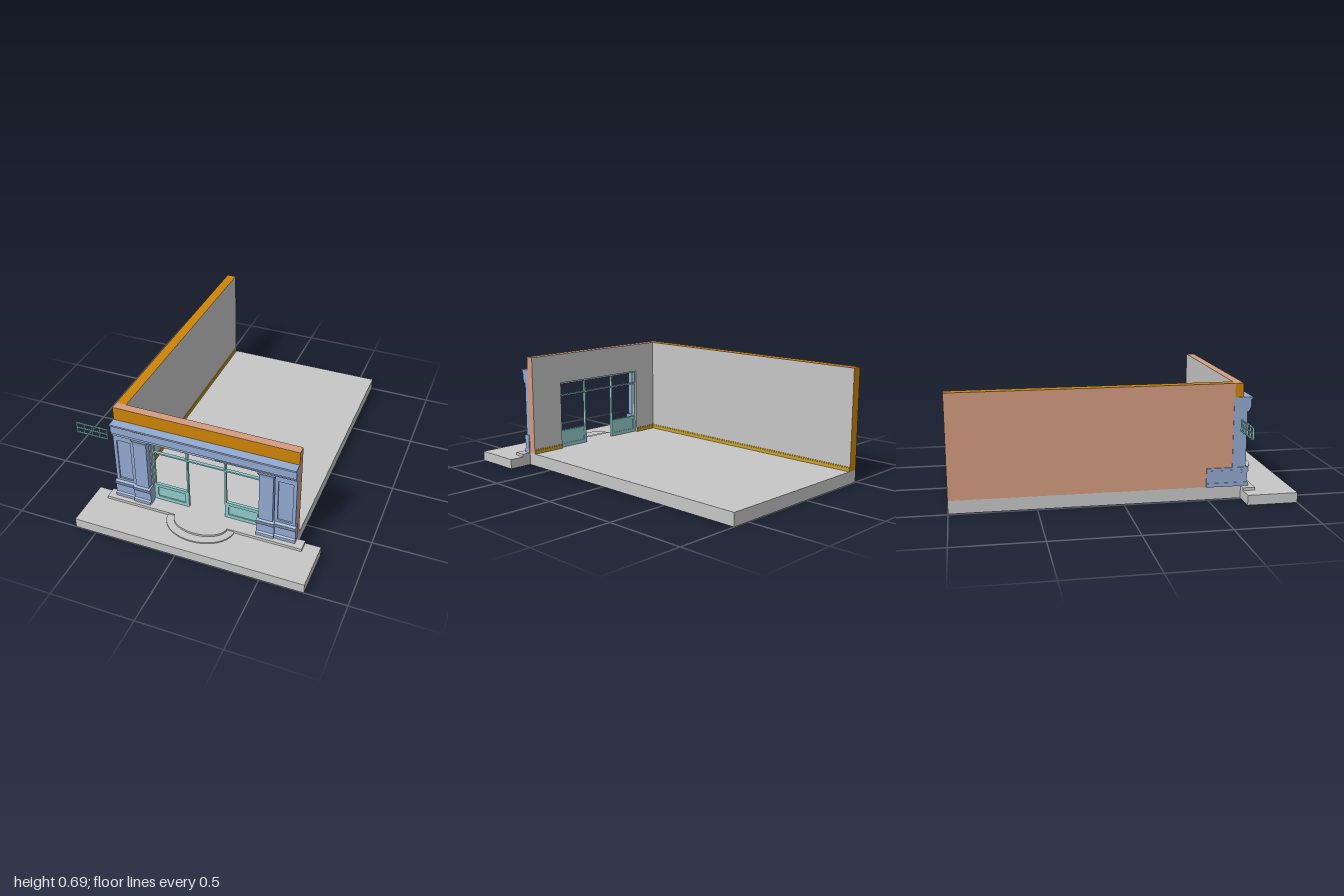
import * as THREE from 'three';

const mat = (name, color) => {
  const m = new THREE.MeshStandardMaterial({ color });
  m.name = name;
  return m;
};

export function createModel() {
  const stone = mat('stoneGrey', 0xc6c6c6);
  const orange = mat('orangeBrick', 0xcc8408);
  const salmon = mat('salmonWall', 0xd39c80);
  const blue = mat('bluePaint', 0x92a9d0);
  const teal = mat('tealFrame', 0x8fcaca);
  const gold = mat('goldSkirting', 0xc8a02a);

  const root = new THREE.Group();
  const CX = 0.06;    // centre line of the building
  const FLOOR = 0.077;

  const add = (name, geo, material, parent = root) => {
    const m = new THREE.Mesh(geo, material);
    m.name = name;
    parent.add(m);
    return m;
  };
  // Box given by its limits on each axis
  const box = (name, x0, x1, y0, y1, z0, z1, material, parent = root) => {
    const g = new THREE.BoxGeometry(x1 - x0, y1 - y0, z1 - z0);
    g.translate((x0 + x1) / 2, (y0 + y1) / 2, (z0 + z1) / 2);
    return add(name, g, material, parent);
  };
  // Moulding: a [z, y] profile drawn out along x
  const moulding = (name, profile, x0, x1, material, parent = root) => {
    const shape = new THREE.Shape(profile.map(([z, y]) => new THREE.Vector2(z, y)));
    const g = new THREE.ExtrudeGeometry(shape, { depth: x1 - x0, bevelEnabled: false });
    g.rotateY(-Math.PI / 2);
    g.translate(x1, 0, 0);
    return add(name, g, material, parent);
  };
  // Rectangular frame with an opening, extruded in z
  const frame = (name, x0, x1, y0, y1, [hx0, hx1, hy0, hy1], z0, z1, material, parent = root) => {
    const pts = (a, b, c, d) => [[a, c], [b, c], [b, d], [a, d]].map(p => new THREE.Vector2(...p));
    const shape = new THREE.Shape(pts(x0, x1, y0, y1));
    shape.holes.push(new THREE.Path(pts(hx0, hx1, hy0, hy1).reverse()));
    const g = new THREE.ExtrudeGeometry(shape, { depth: z1 - z0, bevelEnabled: false });
    g.translate(0, 0, z0);
    return add(name, g, material, parent);
  };

  // Floor, pavement and steps
  box('floorSlab', -0.49, 0.61, 0, FLOOR, -1, 0.7, stone);
  box('pavement', -0.63, 0.757, 0, 0.06, 0.7, 1, stone);
  box('longStep', -0.54, 0.665, 0.06, FLOOR, 0.7, 0.772, stone);
  [['lowerRoundStep', 0.205, 0.152, 0.068], ['upperRoundStep', 0.163, 0.103, 0.08]].forEach(([name, rx, rz, top]) => {
    const g = new THREE.CylinderGeometry(1, 1, top - 0.06, 48, 1, false, -Math.PI / 2, Math.PI);
    g.scale(rx, 1, rz);
    g.translate(CX, (top + 0.06) / 2, 0.772);
    add(name, g, stone);
  });

  // Walls; face order is +x, -x, +y, -y, +z, -z
  box('sideWall', -0.49, -0.43, FLOOR, 0.69, -1, 0.65, [stone, salmon, orange, orange, orange, orange]);
  box('frontWallLeftPier', -0.49, -0.27, FLOOR, 0.505, 0.65, 0.7, [stone, blue, stone, stone, blue, stone]);
  box('frontWallRightPier', 0.39, 0.61, FLOOR, 0.505, 0.65, 0.7, [salmon, stone, stone, stone, blue, stone]);
  box('frontWallLintel', -0.49, 0.61, 0.505, 0.69, 0.65, 0.7, [salmon, orange, salmon, stone, orange, stone]);

  // Skirting boards
  box('sideSkirting', -0.43, -0.424, FLOOR, 0.098, -1, 0.65, gold);
  box('sideSkirtingCap', -0.43, -0.427, 0.098, 0.104, -1, 0.65, gold);
  [[-0.424, -0.27], [0.39, 0.61]].forEach(([a, b]) => {
    box('frontSkirting', a, b, FLOOR, 0.098, 0.644, 0.65, gold);
    box('frontSkirtingCap', a, b, 0.098, 0.104, 0.647, 0.65, gold);
  });

  // Entablature over the shopfront
  moulding('entablature', [
    [0.7, 0.523], [0.737, 0.523], [0.737, 0.53], [0.742, 0.533], [0.742, 0.54], [0.748, 0.545],
    [0.748, 0.59], [0.757, 0.598], [0.757, 0.608], [0.7, 0.608],
  ], -0.49, 0.61, blue);
  box('headBeam', -0.27, 0.39, 0.503, 0.523, 0.7, 0.715, blue);

  // Pilasters with panel, shaft, flared capital and moulded base, mirrored about the centre line
  const baseProfile = z => [
    [0.7, FLOOR], [z, FLOOR], [z, 0.097], [z - 0.008, 0.105], [z - 0.008, 0.158], [z, 0.164],
    [z, 0.172], [z - 0.004, 0.176], [z, 0.18], [z, 0.186], [z - 0.012, 0.192], [0.7, 0.192],
  ];
  [1, -1].forEach(side => {
    const group = new THREE.Group();
    group.name = side > 0 ? 'rightHandPilasters' : 'leftHandPilasters';
    root.add(group);
    const X = (a, b) => side > 0 ? [CX + a, CX + b] : [CX - b, CX - a]; // offsets from centre
    const [p0, p1] = X(0.425, 0.55);
    const [h0, h1] = X(0.444, 0.53);
    frame('panelFrame', p0, p1, 0.19, 0.523, [h0, h1, 0.207, 0.483], 0.7, 0.727, blue, group);
    box('panelBack', h0, h1, 0.207, 0.483, 0.7, 0.718, blue, group);
    moulding('outerBase', baseProfile(0.743), ...X(0.425, 0.556), blue, group);

    const [s0, s1] = X(0.338, 0.42);
    box('pilasterShaft', s0, s1, 0.19, 0.5, 0.7, 0.739, blue, group);
    moulding('innerBase', baseProfile(0.753), ...X(0.327, 0.432), blue, group);
    // Capital widens towards its top
    const cap = new THREE.BoxGeometry(s1 - s0, 0.03, 0.039, 1, 4, 1);
    const pos = cap.attributes.position;
    for (let i = 0; i < pos.count; i++) {
      const t = ((pos.getY(i) + 0.015) / 0.03) ** 2;
      pos.setX(i, pos.getX(i) * (1 + 0.24 * t));
      if (pos.getZ(i) > 0) pos.setZ(i, pos.getZ(i) + 0.009 * t);
    }
    cap.computeVertexNormals();
    cap.translate((s0 + s1) / 2, 0.508, 0.7195);
    add('capital', cap, blue, group);

    // Shop window beside the doorway
    const [w0, w1] = X(0.112, 0.33);
    box('stallPanel', w0, w1, FLOOR, 0.188, 0.668, 0.676, teal, group);
    frame('stallFrame', w0, w1, FLOOR, 0.188, [w0 + 0.022, w1 - 0.022, 0.1, 0.168], 0.664, 0.682, teal, group);
    box('jamb', ...X(0.322, 0.33), 0.188, 0.505, 0.664, 0.682, teal, group);
    box('mullion', ...X(0.112, 0.121), 0.188, 0.505, 0.664, 0.682, teal, group);
  });
  box('windowHead', -0.27, 0.39, 0.494, 0.505, 0.664, 0.682, teal);
  box('transom', -0.27, 0.39, 0.415, 0.424, 0.664, 0.682, teal);

  // Plinth returning along the side wall
  [[FLOOR, 0.1, 0.009], [0.1, 0.16, 0.005], [0.16, 0.175, 0.009], [0.175, 0.19, 0.007]].forEach(([a, b, d]) =>
    box('sidePlinth', -0.49 - d, -0.49, a, b, 0.49, 0.73, blue));
  box('sidePilaster', -0.493, -0.49, 0.19, 0.608, 0.645, 0.7, blue);

  // Separate lattice window, four panes by two
  const lattice = new THREE.Group();
  lattice.name = 'latticeWindow';
  root.add(lattice);
  for (let i = 0; i <= 4; i++) {
    const x = -0.757 + i * 0.049;
    box('latticeUpright', x - 0.003, x + 0.003, 0.422, 0.493, 0.666, 0.677, teal, lattice);
  }
  for (let i = 0; i <= 2; i++) {
    const y = 0.425 + i * 0.0325;
    box('latticeBar', -0.76, -0.558, y - 0.003, y + 0.003, 0.667, 0.676, teal, lattice);
  }
  return root;
}
